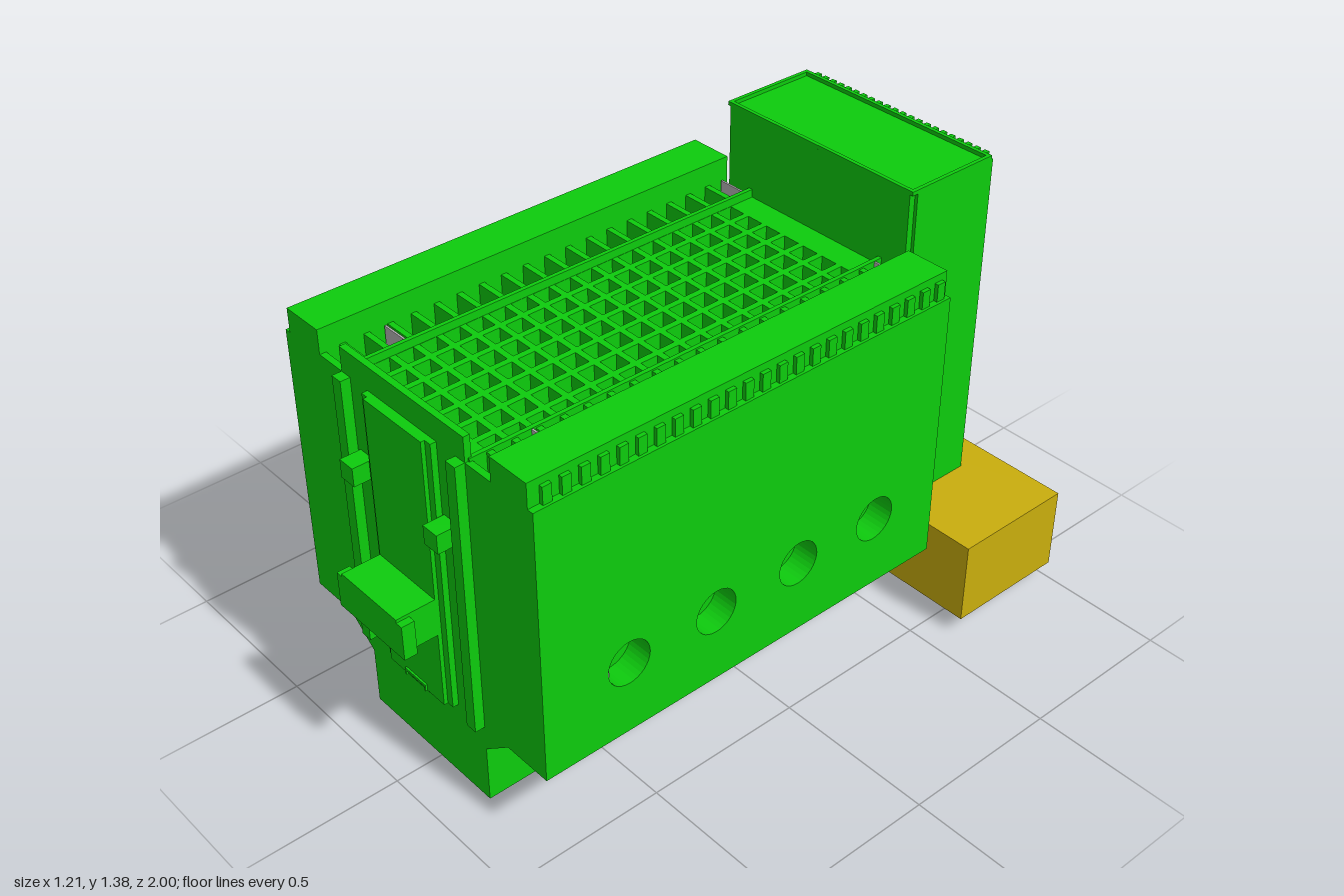
import * as THREE from 'three';

export function createModel() {
  const green = new THREE.MeshStandardMaterial({ color: 0x0dcc0d });
  green.name = 'green plastic';
  const yellow = new THREE.MeshStandardMaterial({ color: 0xcaae0d });
  yellow.name = 'yellow block';
  const grey = new THREE.MeshStandardMaterial({ color: 0xb5b5b5 });
  grey.name = 'grey metal';

  const model = new THREE.Group();
  const body = new THREE.Group(); // housing, symmetric about its own centre line
  body.name = 'housing';
  body.position.x = -0.04;
  model.add(body);

  function add(name, geometry, material = green, parent = body) {
    const mesh = new THREE.Mesh(geometry, material);
    mesh.name = name;
    parent.add(mesh);
    return mesh;
  }
  // Box given by its limits on each axis
  function box(name, x0, x1, y0, y1, z0, z1, material = green, parent = body) {
    const g = new THREE.BoxGeometry(x1 - x0, y1 - y0, z1 - z0);
    g.translate((x0 + x1) / 2, (y0 + y1) / 2, (z0 + z1) / 2);
    return add(name, g, material, parent);
  }
  // Same box on both sides of the centre line
  function pair(name, x0, x1, ...rest) {
    box(name + 'Left', x0, x1, ...rest);
    box(name + 'Right', -x1, -x0, ...rest);
  }
  const polygon = (pts) => new THREE.Shape(pts.map(([x, y]) => new THREE.Vector2(x, y)));
  function rectangle(x0, x1, y0, y1, Type = THREE.Shape) {
    return new Type([[x0, y0], [x1, y0], [x1, y1], [x0, y1]].map(([x, y]) => new THREE.Vector2(x, y)));
  }
  const extrude = (shape, depth) =>
    new THREE.ExtrudeGeometry(shape, { depth, bevelEnabled: false, curveSegments: 16 });

  const back = -0.565, front = 0.85;

  // Core with narrow foot and sloping shoulders
  const core = extrude(polygon([
    [-0.26, 0], [0.26, 0], [0.26, 0.185], [0.36, 0.265], [0.44, 0.265],
    [0.44, 1.04], [-0.44, 1.04], [-0.44, 0.265], [-0.36, 0.265], [-0.26, 0.185],
  ]), front - back);
  core.translate(0, 0, back);
  add('core', core);

  // Side walls with round ports
  const ports = [0.57, 0.27, -0.03, -0.325];
  const wall = rectangle(back, front, 0.265, 1.125);
  for (const z of ports) {
    const hole = new THREE.Path();
    hole.absarc(z, 0.5, 0.07, 0, Math.PI * 2, true);
    wall.holes.push(hole);
  }
  for (const side of [1, -1]) {
    const g = extrude(wall, 0.08);
    g.rotateY(-Math.PI / 2);
    g.translate(side > 0 ? 0.52 : -0.44, 0, 0);
    add('sideWall', g);
  }
  for (const z of ports) pair('portContact', 0.44, 0.49, 0.455, 0.545, z + 0.043, z + 0.055, grey);

  // Grey teeth under the shoulders
  for (let i = 0; i < 10; i++) {
    const z = 0.78 - i * 0.149;
    for (const side of [1, -1]) {
      const pts = [[0.255, 0.185], [0.345, 0.185], [0.34, 0.235], [0.325, 0.243], [0.255, 0.19]];
      const g = extrude(polygon(pts.map(([x, y]) => [side * x, y])), 0.04);
      g.translate(0, 0, z - 0.02);
      add('contactTooth', g, grey);
    }
  }

  // Top rails with small outer tabs, and ribbed troughs beside them
  pair('topRail', 0.36, 0.5, 1.03, 1.2, back, front);
  for (let i = 0; i < 24; i++) {
    const z = front - 0.05 - i * 0.058;
    pair('railTab', 0.5, 0.512, 1.125, 1.178, z - 0.014, z + 0.014);
  }
  for (let i = 0; i < 18; i++) {
    const z = 0.78 - i * 0.0745;
    pair('troughRib', 0.26, 0.36, 1.04, 1.13, z - 0.009, z + 0.009);
  }
  for (const z of [0.65, -0.54]) pair('troughContact', 0.265, 0.355, 1.04, 1.132, z - 0.003, z + 0.003, grey);

  // Perforated deck
  const deck = rectangle(-0.265, 0.265, 0.565, -0.84);
  for (let i = 0; i < 7; i++) {
    for (let j = 0; j < 18; j++) {
      const x = -0.251 + i * 0.0745, z = -0.48 + j * 0.0745;
      deck.holes.push(rectangle(x, x + 0.055, -z - 0.055, -z, THREE.Path));
    }
  }
  const deckGeometry = extrude(deck, 0.07);
  deckGeometry.rotateX(-Math.PI / 2);
  deckGeometry.translate(0, 1.04, 0);
  add('ventDeck', deckGeometry);
  pair('deckEdge', 0.252, 0.265, 1.04, 1.135, back, 0.84);
  box('frontWallLow', -0.36, 0.36, 1.03, 1.125, 0.83, front);
  box('frontWallHigh', -0.26, 0.26, 1.125, 1.2, 0.83, front);

  // Front panel with two vertical channels
  box('frontPanel', -0.122, 0.122, 0.265, 1.125, front, 0.88);
  pair('frontEdgeStrip', 0.222, 0.26, 0.265, 1.125, front, 0.88);
  pair('channelRib', 0.122, 0.145, 0.265, 1.125, front, 0.868);
  pair('channelKnob', 0.153, 0.21, 0.85, 0.908, front, 0.915);

  // Latch handle
  box('handleStem', -0.122, 0.122, 0.51, 0.63, 0.88, 1.0);
  pair('handleFlange', 0.122, 0.145, 0.51, 0.62, 0.96, 1.0);

  // Small framed slot below the handle
  box('slotTop', -0.047, 0.047, 0.279, 0.287, 0.87, 0.886);
  box('slotBottom', -0.047, 0.047, 0.24, 0.265, front, 0.866);
  pair('slotSide', 0.041, 0.047, 0.265, 0.287, 0.87, 0.886);

  // Rear tower with a shallow rim on top
  box('towerNeck', -0.35, 0.35, 0.265, 1.365, -0.59, back);
  box('tower', -0.36, 0.36, 0.265, 1.365, -0.875, -0.585);
  pair('towerRim', 0.348, 0.36, 1.365, 1.377, -0.88, back);
  box('towerFrontRim', -0.348, 0.348, 1.365, 1.377, -0.577, back);
  box('towerBackRim', -0.348, 0.348, 1.365, 1.377, -0.88, -0.868);

  // Cooling fins and lower feet on the back of the tower
  pair('towerBackEdge', 0.335, 0.36, 0.3, 1.365, -0.885, -0.875);
  for (let i = 0; i < 22; i++) {
    const x = -0.325 + i * (0.65 / 21);
    box('coolingFin', x - 0.008, x + 0.008, 0.465, 1.372, -0.9, -0.87);
  }
  for (let i = 0; i < 5; i++) {
    const x = -0.264 + i * 0.132;
    box('towerFoot', x - 0.056, x + 0.056, 0.32, 0.45, -0.893, -0.87);
  }

  // Mounting block
  box('mountingBlock', -0.605, 0.605, 0.055, 0.32, -1, -0.6, yellow, model);

  return model;
}
